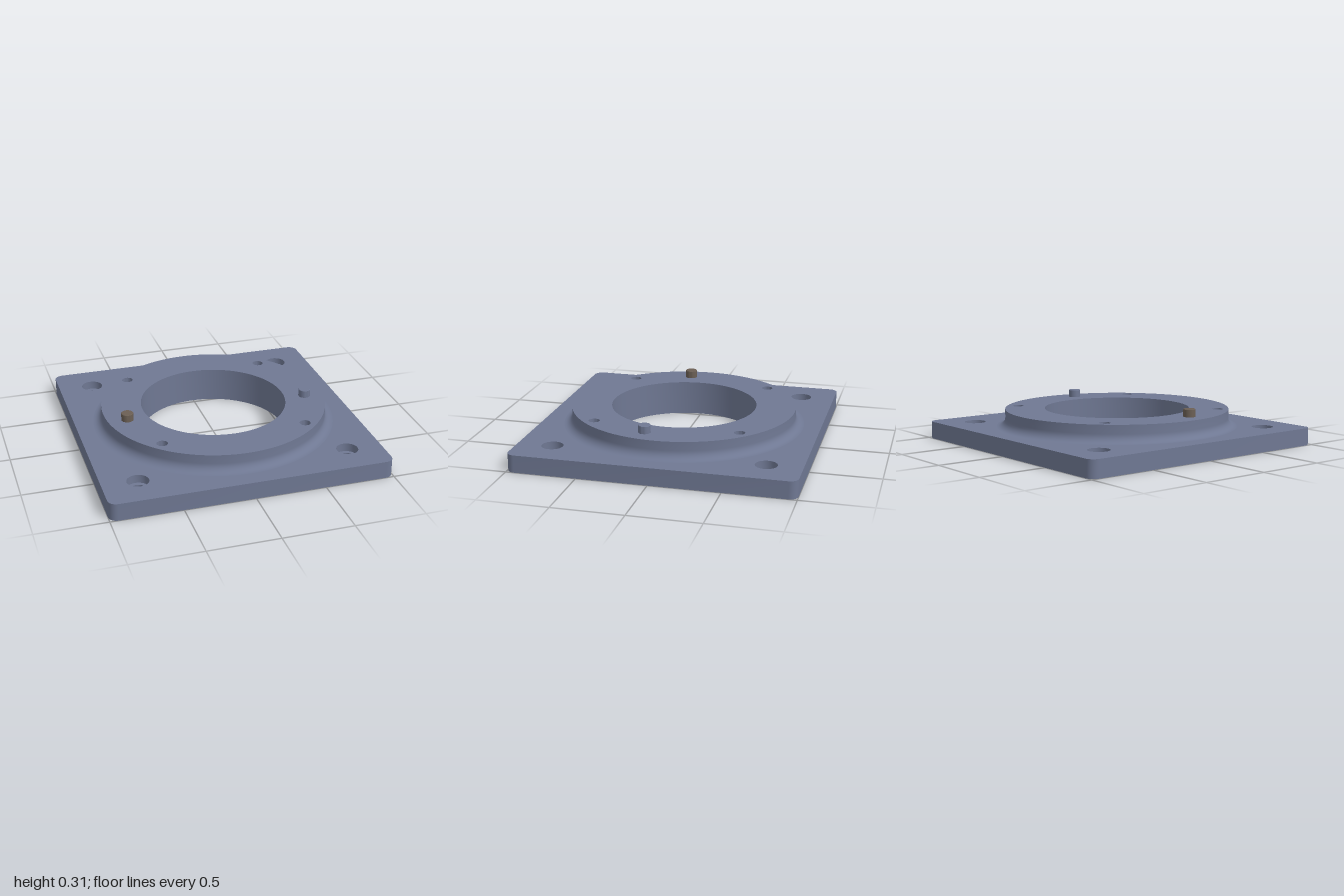
import * as THREE from 'three';
import { mergeGeometries, toCreasedNormals } from 'three/addons/utils/BufferGeometryUtils.js';

const PLATE_H = 0.125, BOSS_H = 0.25, BOSS_R = 0.815, FILLET = 0.062, BORE_R = 0.527;
const CORNER = 0.06, SEAT_Y = 0.065;
const SINK_R = 0.077, CORNER_HOLE_R = 0.048, BOLT_R = 0.039;
const slate = new THREE.MeshStandardMaterial({ color: 0x6f7893 });
const brown = new THREE.MeshStandardMaterial({ color: 0x6b5f54 });

const V = (x, y) => new THREE.Vector2(x, y);

// Points of a circle, matching the divisions of a lathe
function circle(r, n, cx = 0, cy = 0) {
  return Array.from({ length: n }, (_, i) => {
    const a = (i / n) * Math.PI * 2;
    return V(cx + r * Math.cos(a), cy + r * Math.sin(a));
  });
}

// Square with rounded corners, counter-clockwise
function plateOutline() {
  const pts = [], c = 1 - CORNER, steps = 8;
  [[1, 1], [-1, 1], [-1, -1], [1, -1]].forEach(([sx, sy], q) => {
    for (let i = 0; i <= steps; i++) {
      const a = (q + i / steps) * Math.PI / 2;
      pts.push(V(sx * c + CORNER * Math.cos(a), sy * c + CORNER * Math.sin(a)));
    }
  });
  return pts;
}

// Flat horizontal face with holes
function face(outline, holes, y, up = true) {
  const shape = new THREE.Shape(outline);
  shape.holes = holes.map((h) => new THREE.Path(h));
  return new THREE.ShapeGeometry(shape)
    .rotateX(up ? -Math.PI / 2 : Math.PI / 2).translate(0, y, 0).toNonIndexed();
}

// Turned surface: a profile going up faces outward, going down faces inward
function turned(profile, n, x = 0, z = 0) {
  const g = new THREE.LatheGeometry(profile.map(([r, y]) => V(r, y)), n);
  return toCreasedNormals(g, 0.6).translate(x, 0, z);
}

// Vertical band around an outline
function band(outline, y0, y1) {
  const pos = [], uv = [];
  outline.forEach((a, i) => {
    const b = outline[(i + 1) % outline.length];
    const corners = [[a, y0], [b, y0], [b, y1], [a, y0], [b, y1], [a, y1]];
    corners.forEach(([p, y]) => { pos.push(p.x, y, -p.y); uv.push(0, y); });
  });
  const g = new THREE.BufferGeometry();
  g.setAttribute('position', new THREE.Float32BufferAttribute(pos, 3));
  g.setAttribute('uv', new THREE.Float32BufferAttribute(uv, 2));
  return toCreasedNormals(g, 0.6);
}

function addMesh(group, name, geometry, material = slate) {
  const mesh = new THREE.Mesh(geometry, material);
  mesh.name = name;
  group.add(mesh);
}

export function createModel() {
  const group = new THREE.Group();
  group.name = 'mountingFlange';
  const signs = [[1, 1], [-1, 1], [-1, -1], [1, -1]];
  const ringOf = (d, r) => signs.map(([sx, sz]) => circle(r, 32, sx * d, sz * d));
  const outline = plateOutline();
  const bore = circle(BORE_R, 96);
  const boltHoles = ringOf(0.52, BOLT_R);

  // Square base plate
  addMesh(group, 'basePlate', mergeGeometries([
    band(outline, 0, PLATE_H),
    face(outline, [circle(BOSS_R + FILLET, 96), ...ringOf(0.75, SINK_R)], PLATE_H),
    face(outline, [bore, ...ringOf(0.75, CORNER_HOLE_R), ...boltHoles], 0, false),
  ]));

  // Round boss blending into the plate through a fillet
  const profile = [];
  for (let i = 0; i <= 8; i++) {
    const a = (i / 8) * Math.PI / 2;
    profile.push([BOSS_R + FILLET * (1 - Math.sin(a)), PLATE_H + FILLET * (1 - Math.cos(a))]);
  }
  profile.push([BOSS_R, BOSS_H]);
  addMesh(group, 'boss', mergeGeometries([
    turned(profile, 96),
    face(circle(BOSS_R, 96), [bore, ...boltHoles], BOSS_H),
  ]));

  addMesh(group, 'centreBore', turned([[BORE_R, BOSS_H], [BORE_R, 0]], 96));

  // Counterbored corner holes and plain holes through the boss
  const cornerHole = [[SINK_R, PLATE_H], [SINK_R, SEAT_Y], [CORNER_HOLE_R, SEAT_Y], [CORNER_HOLE_R, 0]];
  for (const [sx, sz] of signs) {
    addMesh(group, 'cornerHole', turned(cornerHole, 32, sx * 0.75, sz * 0.75));
    addMesh(group, 'boltHole', turned([[BOLT_R, BOSS_H], [BOLT_R, 0]], 32, sx * 0.52, sz * 0.52));
  }

  // Locating pins with a slightly eased top edge
  const pin = [[0.043, BOSS_H - 0.01], [0.043, 0.302], [0.04, 0.305], [0, 0.305]];
  addMesh(group, 'leftPin', turned(pin, 32, 0.667, 0.111));
  addMesh(group, 'rightPin', turned(pin, 32, -0.667, 0.111), brown);

  return group;
}
